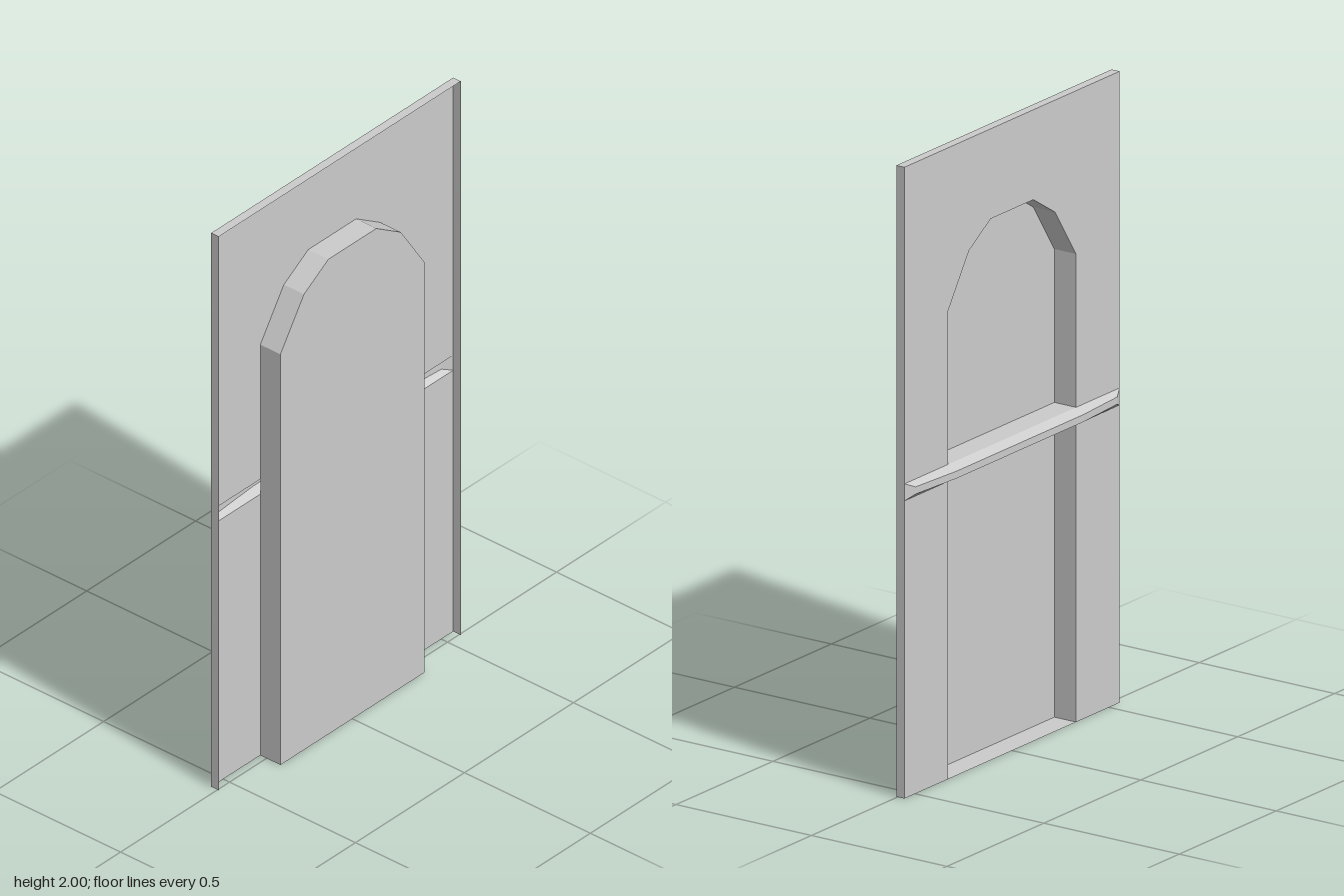
import * as THREE from 'three';

const W = 0.555, H = 2, NICHE = 0.33;
const BACK = -0.025, RIM = 0.005, FRONT = 0.055;
const SLOT_LOW = 0.943, SLOT_HIGH = 0.997;

const material = new THREE.MeshStandardMaterial({
  color: 0xcccccc, side: THREE.DoubleSide, flatShading: true,
});

// Right half of the arch, from the springing to the crown
const archHalf = [[NICHE, 1.483], [0.222, 1.645], [0.11, 1.715]];
const arch = [...archHalf, ...archHalf.map(([x, y]) => [-x, y]).reverse()];

function mesh(name, geometry, z = 0) {
  const m = new THREE.Mesh(geometry, material);
  m.name = name;
  m.position.z = z;
  return m;
}

// Flat sheet in the xy plane
function flat(name, points, z) {
  const shape = new THREE.Shape(points.map(([x, y]) => new THREE.Vector2(x, y)));
  return mesh(name, new THREE.ShapeGeometry(shape), z);
}

// Faceted sheet joining neighbouring rows of points
function strip(name, rows) {
  const pos = [];
  for (let r = 0; r < rows.length - 1; r++) {
    const a = rows[r], b = rows[r + 1];
    for (let i = 0; i < a.length - 1; i++) {
      pos.push(...a[i], ...b[i], ...b[i + 1], ...a[i], ...b[i + 1], ...a[i + 1]);
    }
  }
  const g = new THREE.BufferGeometry();
  g.setAttribute('position', new THREE.Float32BufferAttribute(pos, 3));
  g.computeVertexNormals();
  return mesh(name, g);
}

// Wall that follows an xy path between two depths
const wall = (name, path, z0, z1) =>
  strip(name, [z1, z0].map((z) => path.map(([x, y]) => [x, y, z])));

export function createModel() {
  const model = new THREE.Group();
  model.name = 'archedNichePanel';

  // Back sheet, split by the rail slot and cut out around the niche
  model.add(flat('upperPanel', [
    [-W, SLOT_HIGH], [-NICHE, SLOT_HIGH], ...[...arch].reverse(),
    [NICHE, SLOT_HIGH], [W, SLOT_HIGH], [W, H], [-W, H],
  ], BACK));
  for (const s of [1, -1]) {
    model.add(flat(s > 0 ? 'lowerPanelLeft' : 'lowerPanelRight', [
      [s * NICHE, 0], [s * W, 0], [s * W, SLOT_LOW], [s * NICHE, SLOT_LOW],
    ], BACK));
  }

  // Thin rim along the sides and the top, open at the bottom
  model.add(wall('rim', [[W, 0], [W, H], [-W, H], [-W, 0]], BACK, RIM));

  // Arched niche: hollow, open towards the back
  const outline = [[NICHE, 0], ...arch, [-NICHE, 0]];
  model.add(flat('nicheFace', outline, FRONT));
  model.add(wall('nicheWalls', [...outline, outline[0]], BACK, FRONT));

  // Hollow rail bulging from the back, tapering to both ends
  const section = (x, z, low, high) => [
    [x, SLOT_HIGH, BACK], [x, high, z], [x, low, z], [x, SLOT_LOW, BACK],
  ];
  const half = [[W, BACK, SLOT_LOW, SLOT_HIGH], [0.52, -0.041, 0.958, 0.981], [0.325, -0.055, 0.958, 0.981]];
  const stations = [...half, ...half.map(([x, ...rest]) => [-x, ...rest]).reverse()];
  model.add(strip('rail', stations.map((s) => section(...s))));

  // Shelf faces carrying the rail through the niche to its face
  for (const [name, y] of [['shelfTop', SLOT_HIGH], ['shelfUnderside', SLOT_LOW]]) {
    const ends = [[-NICHE, y], [NICHE, y]];
    model.add(wall(name, y === SLOT_HIGH ? ends.reverse() : ends, BACK, FRONT));
  }
  return model;
}
